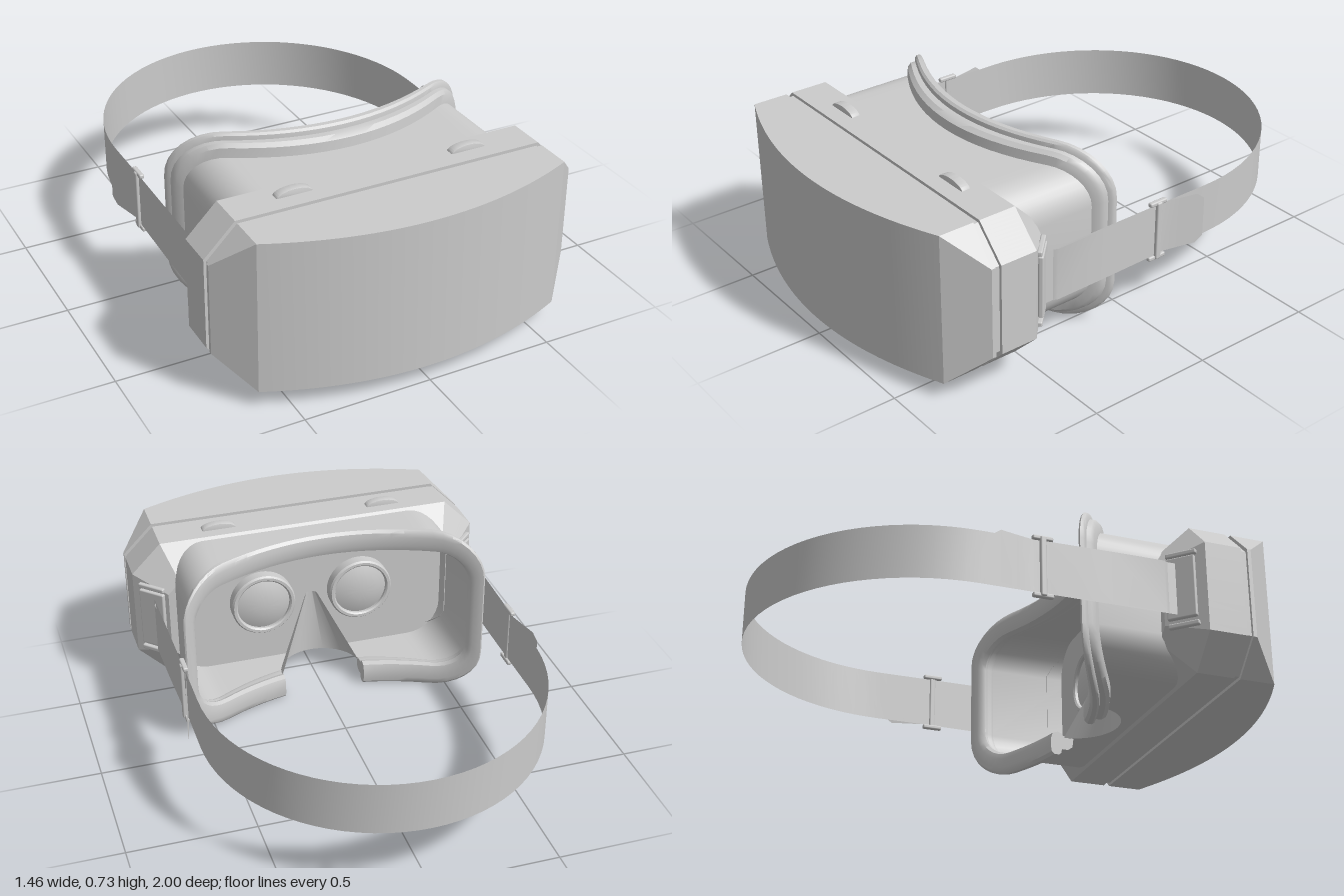
import * as THREE from 'three';
import { toCreasedNormals } from 'three/addons/utils/BufferGeometryUtils.js';
import { RoundedBoxGeometry } from 'three/addons/geometries/RoundedBoxGeometry.js';

const CY = 0.37; // height of the headset's centre line
const V = (x, y, z) => new THREE.Vector3(x, y, z);
const solid = new THREE.MeshStandardMaterial({ color: 0xcccccc });
const thin = new THREE.MeshStandardMaterial({ color: 0xcccccc, side: THREE.DoubleSide });

// Skin over a grid of points
function skin(rows, crease = 0.5) {
  const n = rows[0].length, index = [];
  for (let i = 0; i < rows.length - 1; i++) for (let j = 0; j < n - 1; j++) {
    const a = i * n + j, b = a + 1, d = a + n, c = d + 1;
    index.push(a, d, b, b, d, c);
  }
  const g = new THREE.BufferGeometry().setFromPoints(rows.flat());
  g.setIndex(index);
  return toCreasedNormals(g, crease);
}

// Octagon outline, counter-clockwise from the front, closed, edges subdivided
function octagon(w, h, c, z) {
  const q = [[w, c - h], [w, h - c], [w - c, h], [c - w, h], [-w, h - c], [-w, c - h], [c - w, -h], [w - c, -h]];
  const out = [];
  q.forEach(([x, y], i) => {
    const [x2, y2] = q[(i + 1) % 8];
    for (let k = 0; k < 12; k++) out.push(V(x + (x2 - x) * k / 12, CY + y + (y2 - y) * k / 12, z));
  });
  out.push(out[0].clone());
  return out;
}

// Face-frame outline with a nose gap at the bottom; e = 0 is the hull, 1 the outer lip
const GAP = 0.17;
function frameOutline(e) {
  const w = 0.58 + 0.04 * e, h = 0.29 + 0.075 * e, r = 0.14 + 0.05 * e, half = [];
  for (let i = 0; i < 6; i++) half.push([GAP + (w - r - GAP) * i / 6, -h]);
  for (let i = 0; i <= 8; i++) {
    const a = -Math.PI / 2 + i * Math.PI / 16;
    half.push([w - r + r * Math.cos(a), r - h + r * Math.sin(a)]);
  }
  for (let i = 0; i <= 8; i++) {
    const a = i * Math.PI / 16;
    half.push([w - r + r * Math.cos(a), h - r + r * Math.sin(a)]);
  }
  for (let i = 1; i <= 8; i++) half.push([(w - r) * (1 - i / 8), h]);
  const mirrored = half.slice(0, -1).reverse().map(([x, y]) => [-x, y]);
  return [...half, ...mirrored];
}
const faceCurve = (x) => 0.3 - 0.55 * x * x;

// Signed distance to the hull outline
function hullDistance(p) {
  const qx = Math.abs(p.x) - 0.44, qy = Math.abs(p.y - CY) - 0.15;
  return Math.hypot(Math.max(qx, 0), Math.max(qy, 0)) + Math.min(Math.max(qx, qy), 0) - 0.14;
}

// Curved front shell, ruled vertically
function frontShell() {
  const xs = [-0.73];
  for (let i = 0; i <= 32; i++) xs.push(-0.61 + 1.22 * i / 32);
  xs.push(0.73);
  const rows = xs.map((x) => {
    const over = Math.max(0, Math.abs(x) - 0.61), h = 0.3 - over;
    const z = over > 0.001 ? 0.74 : 1 - 0.135 * (x / 0.61) ** 2;
    return [V(x, CY - h, 0.725), V(x, CY - h, z), V(x, CY + h, z), V(x, CY + h, 0.725)];
  });
  const end = (r) => r.map((p) => V(p.x, p.y, 0.725));
  return skin([end(rows[0]), ...rows, end(rows[rows.length - 1])], 0.4);
}

// Rear shell: groove, straight band, and a chamfer that stops at the hull
function rearShell() {
  const full = (z) => octagon(0.73, 0.3, 0.12, z), inset = (z) => octagon(0.718, 0.288, 0.115, z);
  const outer = full(0.55), inner = octagon(0.61, 0.18, 0.05, 0.43);
  const at = (j, s) => s <= 1 ? outer[j].clone().lerp(inner[j], s) : inner[j].clone().lerp(V(0, CY, 0.43), s - 1);
  const stop = outer.map((_, j) => {
    let lo = 0, hi = 2;
    for (let k = 0; k < 24; k++) {
      const m = (lo + hi) / 2;
      if (hullDistance(at(j, m)) > -0.003) lo = m; else hi = m;
    }
    return lo;
  });
  const row = (s) => outer.map((_, j) => at(j, Math.min(stop[j], s)));
  return skin([full(0.725), inset(0.725), inset(0.7), full(0.7), outer, row(1), row(2)], 0.3);
}

// Padded lip swept round the face frame, with closed ends at the nose gap
function lip(profile) {
  const rows = profile.map(([e, dz]) => frameOutline(e).map(([x, y]) => V(x, CY + y, faceCurve(x) + dz - 0.1 * x * x * (dz / 0.1))));
  const n = rows[0].length;
  const mid = (j) => rows.reduce((s, r) => s.add(r[j]), V(0, 0, 0)).divideScalar(rows.length);
  const first = mid(0), last = mid(n - 1);
  const capped = rows.map((r) => [first.clone(), ...r, last.clone()]);
  return skin([...capped, capped[0].map((p) => p.clone())], 0.6);
}

// Upright band along a plan path of [x, z, half height]
function ribbon(path) {
  const edge = (s) => path.map(([x, z, h = 0.105]) => V(x, CY + s * h, z));
  return skin([edge(1), edge(-1)], 0.6);
}

export function createModel() {
  const model = new THREE.Group();
  const add = (name, geo, mat = solid, parent = model) => {
    const m = new THREE.Mesh(geo, mat);
    m.name = name;
    parent.add(m);
    return m;
  };

  add('frontShell', frontShell());
  add('rearShell', rearShell(), thin);

  // Face hull, lens wall and lip
  const hull = frameOutline(0);
  add('faceHull', skin([
    hull.map(([x, y]) => V(x, CY + y, 0.55)),
    hull.map(([x, y]) => V(x, CY + y, faceCurve(x) + 0.05)),
  ]), thin);
  const wall = new THREE.ShapeGeometry(new THREE.Shape(hull.map(([x, y]) => new THREE.Vector2(x, y))));
  add('lensWall', wall, thin).position.set(0, CY, 0.5);
  add('flange', lip([[0, 0.1], [0.5, 0.095], [0.68, 0.075], [0.68, 0.045], [-0.1, 0.04], [-0.1, 0.08]]), thin);
  add('facePad', lip([[0.55, 0.05], [0.9, 0.045], [1, 0.035], [1, 0.015], [0.85, 0.003], [0.6, 0],
    [0.1, 0], [-0.2, 0.008], [-0.3, 0.03], [-0.2, 0.05]]), thin);

  // Nose recess: half cone open to the back and below, with floor in front of it
  const rim = [], floor = [], apex = [];
  for (let i = 0; i <= 20; i++) {
    const a = Math.PI * i / 20;
    rim.push(V(GAP * Math.cos(a), 0.08, 0.34 + 0.16 * Math.sin(a)));
    floor.push(V(GAP * Math.cos(a), 0.08, 0.55));
    apex.push(V(0.025 * Math.cos(a), 0.37, 0.475 + 0.024 * Math.sin(a)));
  }
  add('noseRecess', skin([apex, rim]), thin);
  add('noseFloor', skin([rim, floor]), thin);

  // Lenses
  const lens = new THREE.LatheGeometry([[0.135, 0], [0.135, 0.042], [0.129, 0.05], [0.118, 0.05], [0.112, 0.044],
    [0.112, 0.032], [0.08, 0.044], [0.04, 0.051], [0, 0.053]].map(([r, y]) => new THREE.Vector2(r, y)), 40);
  lens.rotateX(-Math.PI / 2);
  const lensGeo = toCreasedNormals(lens, 0.5);

  // Top button: low arch
  const arch = new THREE.Shape();
  arch.absellipse(0, 0, 0.068, 0.024, 0, Math.PI, false);
  const button = toCreasedNormals(new THREE.ExtrudeGeometry(arch, {
    depth: 0.03, bevelEnabled: true, bevelSize: 0.003, bevelThickness: 0.003, bevelSegments: 2, curveSegments: 16,
  }), 0.5);

  // Head strap round the back
  const loop = [[0.664, 0.5], [0.66, -0.05], [0.66, -0.18]];
  for (let i = 0; i <= 40; i++) {
    const a = Math.PI * i / 40;
    loop.push([0.66 * Math.cos(a), -0.3 - 0.7 * Math.sin(a)]);
  }
  loop.push([-0.66, -0.18], [-0.66, -0.05], [-0.664, 0.5]);
  add('headStrap', ribbon(loop), thin);

  for (const s of [1, -1]) {
    const side = new THREE.Group();
    side.name = s > 0 ? 'leftFittings' : 'rightFittings';
    model.add(side);
    const put = (name, geo, x, y, z, mat) => {
      const m = add(name, geo, mat, side);
      m.position.set(s * x, y, z);
      return m;
    };
    put('lens', lensGeo, 0.21, 0.365, 0.5);
    put('button', button, 0.352, 0.666, 0.602);

    // Folded strap end with a loose, clipped tail
    add('strapTail', ribbon([[0.664, 0.425], [0.672, 0.41], [0.67, 0.2], [0.664, -0.04], [0.66, -0.1],
      [0.675, -0.17], [0.69, -0.235], [0.697, -0.265, 0.08]].map(([x, z, h]) => [s * x, z, h])), thin, side);

    // Slider buckle
    put('buckleBar', new RoundedBoxGeometry(0.022, 0.24, 0.024, 2, 0.006), 0.665, CY, -0.066);
    for (const t of [1, -1]) {
      put('buckleEnd', new RoundedBoxGeometry(0.02, 0.018, 0.08, 2, 0.006), 0.66, CY + t * 0.115, -0.066);
    }

    // Strap anchor on the side chamfer
    const plate = put('anchorPlate', new RoundedBoxGeometry(0.02, 0.25, 0.115, 2, 0.006), 0.668, CY + 0.005, 0.475);
    plate.rotation.y = s * Math.PI / 4;
    for (const t of [1, -1]) {
      const lug = put('anchorLug', new RoundedBoxGeometry(0.02, 0.02, 0.12, 2, 0.006), 0.668, CY + t * 0.145, 0.48);
      lug.rotation.y = s * Math.PI / 4;
    }
  }
  return model;
}
